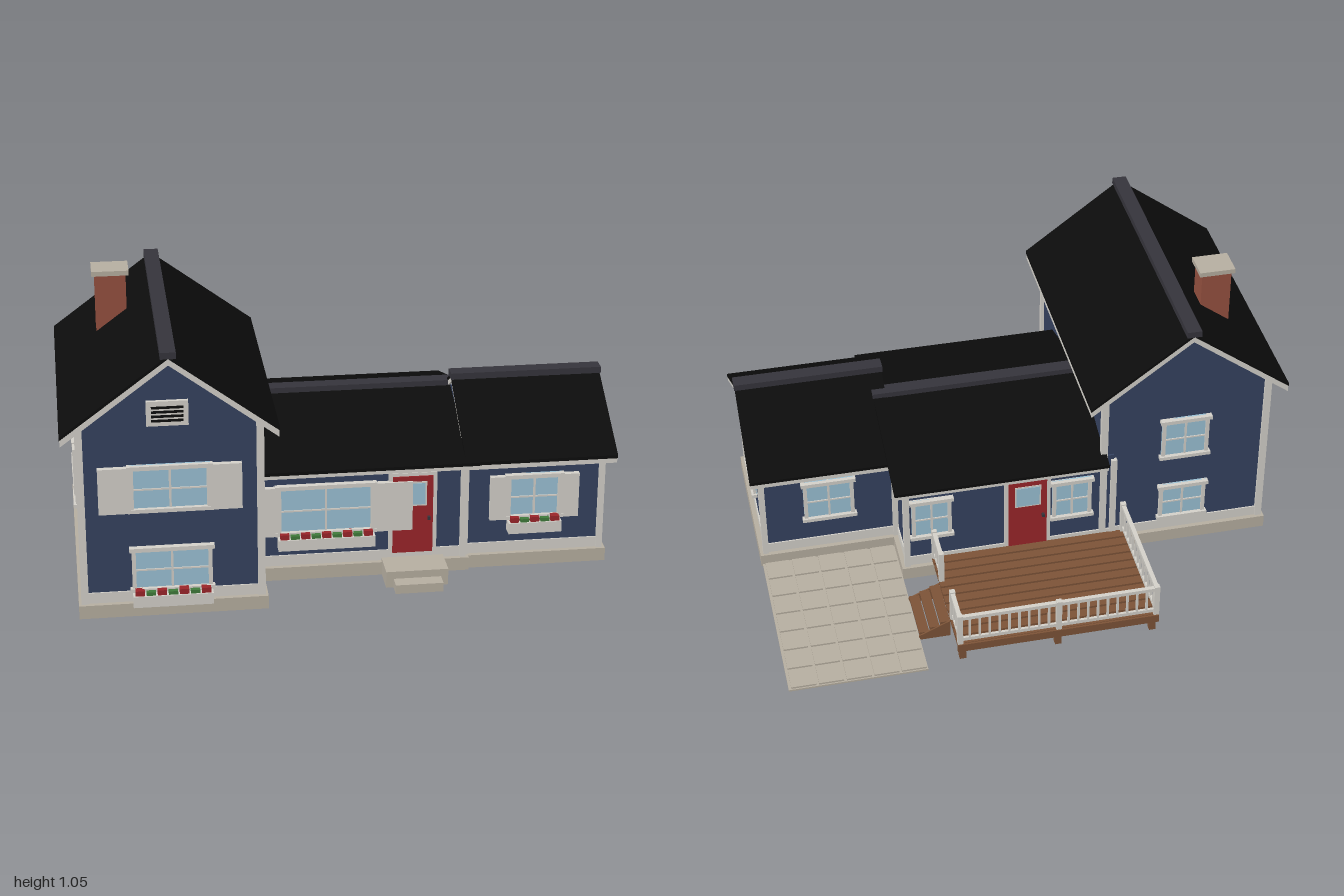
import * as THREE from 'three';

const mat = (name, color) => {
  const m = new THREE.MeshStandardMaterial({ color });
  m.name = name;
  return m;
};

export function createModel() {
  const navy = mat('navy siding', 0x35425f), trim = mat('white trim', 0xd3d0c9), stone = mat('stone', 0xb6aea0),
    black = mat('black shingle', 0x0c0c0c), slate = mat('ridge grey', 0x35343b), red = mat('red', 0x9a2529),
    brick = mat('brick', 0x94503f), wood = mat('deck wood', 0x7c5337), glass = mat('glass', 0x9ac0d4),
    green = mat('leaf green', 0x3f7a3a);

  const house = new THREE.Group();
  house.name = 'house';

  const group = (name, x = 0, y = 0, z = 0, turn = 0, parent = house) => {
    const g = new THREE.Group();
    g.name = name;
    g.position.set(x, y, z);
    g.rotation.y = turn;
    parent.add(g);
    return g;
  };
  // box given by its minimum and maximum corners
  const box = (parent, name, m, x0, x1, y0, y1, z0, z1) => {
    const b = new THREE.Mesh(new THREE.BoxGeometry(x1 - x0, y1 - y0, z1 - z0), m);
    b.position.set((x0 + x1) / 2, (y0 + y1) / 2, (z0 + z1) / 2);
    b.name = name;
    parent.add(b);
  };
  // outline in x, y swept from z0 to z1
  const prism = (parent, name, m, pts, z0, z1) => {
    const shape = new THREE.Shape(pts.map(p => new THREE.Vector2(...p)));
    const b = new THREE.Mesh(new THREE.ExtrudeGeometry(shape, { depth: z1 - z0, bevelEnabled: false }), m);
    b.position.z = z0;
    b.name = name;
    parent.add(b);
  };

  // One gabled block; the ridge runs along local z, x is measured from the ridge
  const gabled = (g, { half, z0, z1, ridge, eave, roofHalf, r0, r1, rake }) => {
    const slope = (ridge - eave) / roofHalf;
    const top = x => ridge - 0.015 - slope * x;
    prism(g, 'walls', navy, [[-half, 0.05], [half, 0.05], [half, top(half)], [0, top(0)], [-half, top(half)]], z0, z1);
    box(g, 'foundation', stone, -half - 0.022, half + 0.022, 0, 0.05, z0 - 0.022, z1 + 0.022);
    box(g, 'baseboard', trim, -half - 0.005, half + 0.005, 0.05, 0.09, z0 - 0.005, z1 + 0.005);
    for (const s of [-1, 1]) {
      const slab = (a, b, r) => [[0, ridge - a], [s * r, eave - a], [s * r, eave - b], [0, ridge - b]];
      prism(g, 'roofSlope', black, slab(0, 0.012, roofHalf), r0, r1);
      prism(g, 'soffitAndRake', trim, slab(0.012, rake, roofHalf - 0.002), r0 + 0.002, r1 - 0.002);
      for (const z of [z0, z1])
        box(g, 'cornerBoard', trim, s * half - 0.013, s * half + 0.013, 0.05, top(half + 0.013) - 0.015, z - 0.011, z + 0.011);
    }
    box(g, 'ridgeCap', slate, -0.027, 0.027, ridge - 0.012, ridge + 0.012, r0 - 0.003, r1 + 0.003);
  };

  gabled(group('tallWing', -0.622), {
    half: 0.31, z0: -0.25, z1: 0.73, ridge: 0.98, eave: 0.7, roofHalf: 0.375, r0: -0.298, r1: 0.77, rake: 0.036,
  });
  gabled(group('middleWing', 0, 0, 0.133, Math.PI / 2), {
    half: 0.388, z0: -0.35, z1: 0.44, ridge: 0.58, eave: 0.44, roofHalf: 0.443, r0: -0.32, r1: 0.488, rake: 0.026,
  });
  gabled(group('rightWing', 0, 0, 0.22, Math.PI / 2), {
    half: 0.286, z0: 0.45, z1: 0.95, ridge: 0.64, eave: 0.437, roofHalf: 0.345, r0: 0.44, r1: 0.993, rake: 0.03,
  });
  box(house, 'frontFrieze', trim, -0.31, 0.44, 0.403, 0.425, 0.515, 0.53);

  // Window on a wall: w, h are outer sizes, y is the sill height, local +z points outward
  const F = 0, B = Math.PI, R = Math.PI / 2, L = -Math.PI / 2;
  const windowUnit = (name, x, y, z, turn, w, h, { shutter = 0, planter = 0, bar = 0.014 } = {}) => {
    const g = group(name, x, y, z, turn), a = w / 2, t = 0.006;
    box(g, 'pane', glass, -a, a, 0, h, 0, 0.007);
    for (const s of [-1, 1]) {
      box(g, 'sideCasing', trim, s * a - (s > 0 ? bar : 0), s * a + (s < 0 ? bar : 0), 0, h, 0, 0.014);
      if (shutter) {
        const c = s * (a + shutter / 2 - 0.012);
        box(g, 'shutter', trim, c - shutter / 2, c + shutter / 2, 0, h - 0.005, 0, 0.02);
      }
    }
    box(g, 'header', trim, -a - 0.008, a + 0.008, h - 0.015, h, 0, 0.022);
    box(g, 'sill', trim, -a - 0.008, a + 0.008, 0, 0.014, 0, 0.022);
    box(g, 'mullion', trim, -t / 2 - 0.001, t / 2 + 0.001, 0, h, 0, 0.011);
    box(g, 'crossbar', trim, -a, a, h * 0.48 - t / 2, h * 0.48 + t / 2, 0, 0.011);
    if (planter) {
      box(g, 'flowerBox', trim, -planter / 2, planter / 2, -0.047, -0.005, 0, 0.045);
      const n = Math.max(5, Math.round(planter / 0.04)), step = (planter - 0.01) / n;
      for (let i = 0; i < n; i++) {
        const c = (i - (n - 1) / 2) * step, odd = i % 2;
        box(g, odd ? 'leaves' : 'blossom', odd ? green : red, c - step * 0.42, c + step * 0.42, -0.008, odd ? 0.008 : 0.014, 0.012, 0.04);
      }
    }
  };

  // Tall wing windows
  windowUnit('frontUpperWindow', -0.625, 0.395, 0.73, F, 0.28, 0.175, { shutter: 0.12 });
  windowUnit('frontLowerWindow', -0.625, 0.093, 0.735, F, 0.28, 0.17, { planter: 0.28 });
  windowUnit('backUpperWindow', -0.622, 0.395, -0.25, B, 0.18, 0.18);
  windowUnit('backLowerWindow', -0.622, 0.105, -0.25, B, 0.18, 0.16);
  windowUnit('sideUpperWindow', -0.932, 0.395, 0.45, L, 0.14, 0.18, { shutter: 0.07 });
  windowUnit('sideLowerWindow', -0.932, 0.11, 0, L, 0.14, 0.16);
  // Middle and right wing windows
  windowUnit('livingRoomWindow', -0.06, 0.173, 0.521, F, 0.35, 0.195, { shutter: 0.15, planter: 0.35 });
  windowUnit('backWindowA', 0.345, 0.18, -0.255, B, 0.15, 0.18);
  windowUnit('backWindowB', -0.19, 0.18, -0.255, B, 0.15, 0.18);
  windowUnit('rightFrontWindow', 0.702, 0.185, 0.506, F, 0.2, 0.175, { shutter: 0.075, planter: 0.195 });
  windowUnit('rightSideWindow', 0.95, 0.182, 0.217, R, 0.22, 0.182);
  windowUnit('rightBackWindow', 0.7, 0.182, -0.066, B, 0.19, 0.18);
  windowUnit('atticWindow', 0.95, 0.467, 0.22, R, 0.1, 0.1, { bar: 0.02 });

  // Louvred vent in the front gable
  const vent = group('gableVent', -0.628, 0.715, 0.73);
  box(vent, 'ventFrame', trim, -0.072, 0.072, 0, 0.09, 0, 0.014);
  for (let i = 0; i < 4; i++) box(vent, 'louvre', black, -0.055, 0.055, 0.016 + i * 0.016, 0.024 + i * 0.016, 0.012, 0.018);

  // Doors
  const door = (name, x, z, turn) => {
    const g = group(name, x, 0.08, z, turn);
    box(g, 'casing', trim, -0.088, 0.088, 0, 0.312, 0, 0.008);
    box(g, 'doorLeaf', red, -0.073, 0.073, 0, 0.3, 0, 0.013);
    box(g, 'lightFrame', trim, -0.05, 0.05, 0.185, 0.28, 0.008, 0.015);
    box(g, 'doorLight', glass, -0.044, 0.044, 0.191, 0.274, 0.01, 0.017);
    box(g, 'knob', slate, 0.053, 0.063, 0.13, 0.142, 0.01, 0.025);
  };
  door('frontDoor', 0.255, 0.521, F);
  door('backDoor', -0.02, -0.255, B);

  // Entrance steps
  box(house, 'upperStep', stone, 0.143, 0.368, 0, 0.062, 0.53, 0.648);
  box(house, 'lowerStep', stone, 0.17, 0.342, 0, 0.034, 0.64, 0.7);
  box(house, 'backStep', stone, -0.13, 0.09, 0, 0.048, -0.326, -0.25);

  // Chimney
  const chimney = group('chimney', -0.787, 0, 0.033);
  box(chimney, 'stack', brick, -0.056, 0.056, 0.78, 1.03, -0.044, 0.044);
  box(chimney, 'cap', stone, -0.067, 0.067, 1.028, 1.046, -0.055, 0.055);

  // Paved patio
  const patio = group('patio');
  box(patio, 'patioBase', stone, 0.462, 0.967, 0.002, 0.009, -0.78, -0.085);
  for (let i = 0; i < 5; i++)
    for (let j = 0; j < 7; j++) {
      const x = 0.467 + i * 0.1, z = -0.775 + j * 0.099;
      box(patio, 'paver', stone, x, x + 0.09, 0.009, 0.016, z, z + 0.089);
    }

  // Deck
  const deck = group('deck');
  const x0 = -0.4, x1 = 0.348, zb = -0.757;
  for (let i = 0; i < 11; i++) {
    const z = zb + 0.008 + i * 0.0447;
    box(deck, 'deckBoard', wood, x0, x1, 0.068, 0.08, z, z + 0.036);
  }
  for (let i = 0; i < 8; i++) {
    const x = x0 + 0.008 + i * 0.1034;
    box(deck, 'joist', wood, x - 0.006, x + 0.006, 0.046, 0.068, zb + 0.01, -0.25);
  }
  box(deck, 'rimBeam', wood, x0, x1, 0.046, 0.078, zb, zb + 0.012);
  for (const x of [x0 + 0.02, -0.026, x1 - 0.02])
    for (const z of [zb + 0.024, -0.4]) box(deck, 'footing', wood, x - 0.012, x + 0.012, 0, 0.05, z - 0.012, z + 0.012);

  // Railing runs between two corners along one axis
  const railing = (ax, az, bx, bz) => {
    const g = group('railing', 0, 0, 0, 0, deck);
    const len = Math.hypot(bx - ax, bz - az), n = Math.round(len / 0.036);
    for (const [y, t] of [[0.098, 0.005], [0.2, 0.008]])
      box(g, 'rail', trim, Math.min(ax, bx) - t, Math.max(ax, bx) + t, y - 0.007, y + 0.007, Math.min(az, bz) - t, Math.max(az, bz) + t);
    for (let i = 0; i <= n; i++) {
      const x = ax + (bx - ax) * i / n, z = az + (bz - az) * i / n, end = i === 0 || i === n, t = end ? 0.01 : 0.004;
      box(g, end ? 'post' : 'baluster', trim, x - t, x + t, end ? 0.08 : 0.095, end ? 0.212 : 0.2, z - t, z + t);
    }
  };
  const zr = zb + 0.012;
  railing(x0 + 0.01, zr, -0.026, zr);
  railing(-0.026, zr, x1 - 0.01, zr);
  railing(x0 + 0.01, zr, x0 + 0.01, -0.268);
  railing(x1 - 0.01, zr, x1 - 0.01, -0.612);
  railing(x1 - 0.01, -0.4, x1 - 0.01, -0.268);

  // Deck stairs
  for (let i = 0; i < 3; i++) {
    const x = 0.348 + i * 0.039, y = 0.066 - i * 0.018;
    box(deck, 'tread', wood, x, x + 0.037, y - 0.01, y, -0.61, -0.408);
    box(deck, 'riser', wood, x, x + 0.006, 0.004, y - 0.01, -0.606, -0.412);
  }
  for (const z of [-0.615, -0.409])
    prism(deck, 'stringer', wood, [[0.348, 0], [0.464, 0], [0.464, 0.018], [0.348, 0.07]], z, z + 0.007);

  return house;
}
